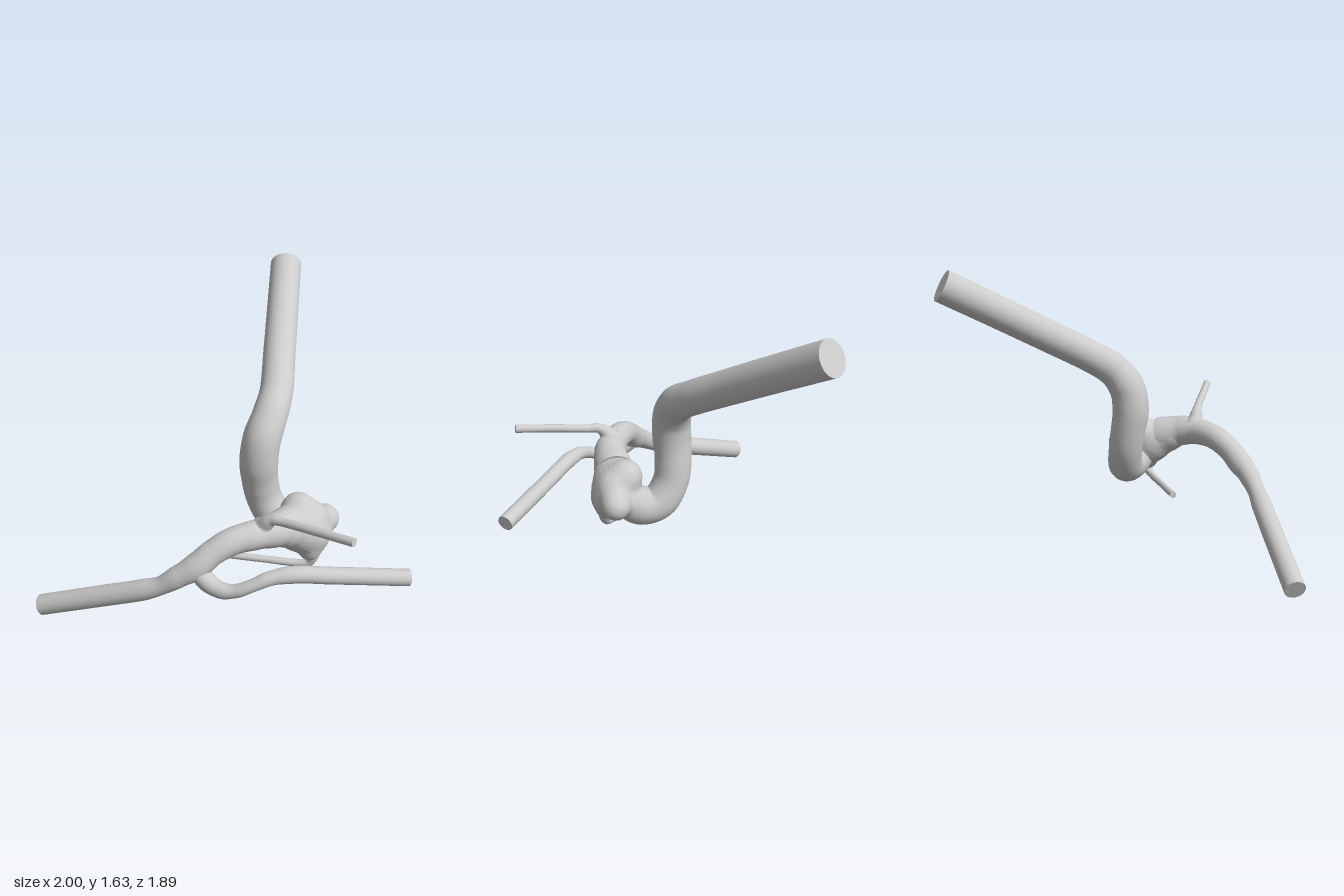
import * as THREE from 'three';

const material = new THREE.MeshStandardMaterial({ color: 0xcccccc });

// Smooth tube of varying radius through stations [x, y, z, radius], with flat capped ends.
function vessel(name, stations, steps = 80, sides = 28) {
  const curve = new THREE.CatmullRomCurve3(stations.map(([x, y, z]) => new THREE.Vector3(x, y, z)));
  const frames = curve.computeFrenetFrames(steps);
  const pos = [], index = [];
  const radiusAt = (t) => {
    const f = t * (stations.length - 1), i = Math.min(Math.floor(f), stations.length - 2);
    return THREE.MathUtils.lerp(stations[i][3], stations[i + 1][3], THREE.MathUtils.smoothstep(f - i, 0, 1));
  };
  const ring = (k) => {
    const u = k / steps, c = curve.getPointAt(u), r = radiusAt(curve.getUtoTmapping(u));
    for (let s = 0; s < sides; s++) {
      const a = (s / sides) * Math.PI * 2;
      const p = c.clone()
        .addScaledVector(frames.normals[k], Math.cos(a) * r)
        .addScaledVector(frames.binormals[k], Math.sin(a) * r);
      pos.push(p.x, p.y, p.z);
    }
    return c;
  };
  for (let k = 0; k <= steps; k++) ring(k);
  for (let k = 0; k < steps; k++) {
    for (let s = 0; s < sides; s++) {
      const n = (s + 1) % sides, a = k * sides + s, b = k * sides + n;
      index.push(a, b, a + sides, b, b + sides, a + sides);
    }
  }
  // caps have their own rings so the rim stays sharp
  for (const k of [0, steps]) {
    const base = pos.length / 3, c = ring(k), mid = base + sides;
    pos.push(c.x, c.y, c.z);
    for (let s = 0; s < sides; s++) {
      const a = base + s, b = base + ((s + 1) % sides);
      if (k === 0) index.push(mid, b, a);
      else index.push(mid, a, b);
    }
  }
  const geo = new THREE.BufferGeometry();
  geo.setAttribute('position', new THREE.Float32BufferAttribute(pos, 3));
  geo.setIndex(index);
  geo.computeVertexNormals();
  const mesh = new THREE.Mesh(geo, material);
  mesh.name = name;
  return mesh;
}

// Lumpy sac: a sphere pushed outwards onto the smooth union of several balls.
function sac(name, center, balls) {
  const sharp = 45;
  const inside = (p) => {
    let sum = 0;
    for (const [x, y, z, r] of balls) sum += Math.exp(-sharp * (Math.hypot(p.x - x, p.y - y, p.z - z) - r));
    return sum > 1;
  };
  const geo = new THREE.SphereGeometry(1, 72, 48);
  const at = geo.attributes.position, dir = new THREE.Vector3(), p = new THREE.Vector3();
  for (let i = 0; i < at.count; i++) {
    dir.fromBufferAttribute(at, i).normalize();
    let d = 0.03;
    while (d < 0.5 && inside(p.copy(center).addScaledVector(dir, d))) d += 0.002;
    p.copy(center).addScaledVector(dir, d);
    at.setXYZ(i, p.x, p.y, p.z);
  }
  geo.computeVertexNormals();
  const mesh = new THREE.Mesh(geo, material);
  mesh.name = name;
  return mesh;
}

export function createModel() {
  const group = new THREE.Group();
  group.name = 'vesselWithSac';

  // Wide inlet: long straight run, bend down, then hook round into the sac
  group.add(vessel('inletVessel', [
    [0.44, 1.55, -0.905, 0.092], [0.403, 1.39, -0.6, 0.092], [0.366, 1.23, -0.3, 0.092],
    [0.335, 1.1, -0.06, 0.093], [0.295, 1.02, 0.06, 0.098], [0.25, 0.91, 0.128, 0.106],
    [0.235, 0.78, 0.143, 0.108], [0.245, 0.65, 0.13, 0.103], [0.275, 0.52, 0.128, 0.101],
    [0.345, 0.41, 0.165, 0.104], [0.42, 0.395, 0.24, 0.11], [0.46, 0.45, 0.34, 0.1],
  ], 120, 36));

  // Sac with a side lobe and an upper bump
  group.add(sac('sac', new THREE.Vector3(0.44, 0.5, 0.38), [
    [0.44, 0.5, 0.39, 0.125], [0.36, 0.56, 0.48, 0.1], [0.445, 0.575, 0.31, 0.085],
    [0.605, 0.475, 0.26, 0.077], [0.52, 0.45, 0.37, 0.1], [0.46, 0.42, 0.28, 0.09],
    [0.28, 0.595, 0.56, 0.07], [0.51, 0.36, 0.41, 0.05], [0.53, 0.54, 0.34, 0.07],
  ]));

  // Outflow: arch out of the sac, then a straight run to the right
  group.add(vessel('outflowVessel', [
    [0.4, 0.55, 0.43, 0.11], [0.3, 0.59, 0.54, 0.092], [0.2, 0.6, 0.595, 0.079],
    [0.08, 0.59, 0.635, 0.073], [-0.03, 0.54, 0.67, 0.068], [-0.11, 0.475, 0.695, 0.071],
    [-0.2, 0.42, 0.703, 0.06], [-0.3, 0.35, 0.693, 0.05], [-0.4, 0.3, 0.665, 0.057],
    [-0.6, 0.216, 0.602, 0.058], [-0.79, 0.137, 0.543, 0.058], [-0.975, 0.06, 0.485, 0.058],
  ], 110));

  // Branch looping back under the arch to the left
  group.add(vessel('loopBranch', [
    [-0.12, 0.47, 0.69, 0.05], [-0.06, 0.415, 0.74, 0.052], [0.01, 0.395, 0.79, 0.044],
    [0.09, 0.41, 0.818, 0.036], [0.17, 0.448, 0.825, 0.034], [0.26, 0.485, 0.815, 0.038],
    [0.38, 0.495, 0.798, 0.045], [0.58, 0.467, 0.772, 0.045], [0.78, 0.439, 0.746, 0.045],
    [0.99, 0.41, 0.72, 0.045],
  ], 100));

  // Thin side branches with flared roots
  group.add(vessel('upperTwig', [
    [0.235, 0.635, 0.585, 0.065], [0.255, 0.685, 0.607, 0.04], [0.285, 0.715, 0.63, 0.028],
    [0.34, 0.725, 0.67, 0.023], [0.49, 0.755, 0.795, 0.023], [0.65, 0.783, 0.925, 0.023],
  ], 50, 20));
  group.add(vessel('lowerTwig', [
    [0.52, 0.38, 0.4, 0.07], [0.525, 0.325, 0.41, 0.036], [0.51, 0.285, 0.414, 0.026],
    [0.45, 0.273, 0.405, 0.021], [0.25, 0.276, 0.368, 0.02], [0.04, 0.28, 0.33, 0.02],
  ], 50, 20));

  return group;
}
